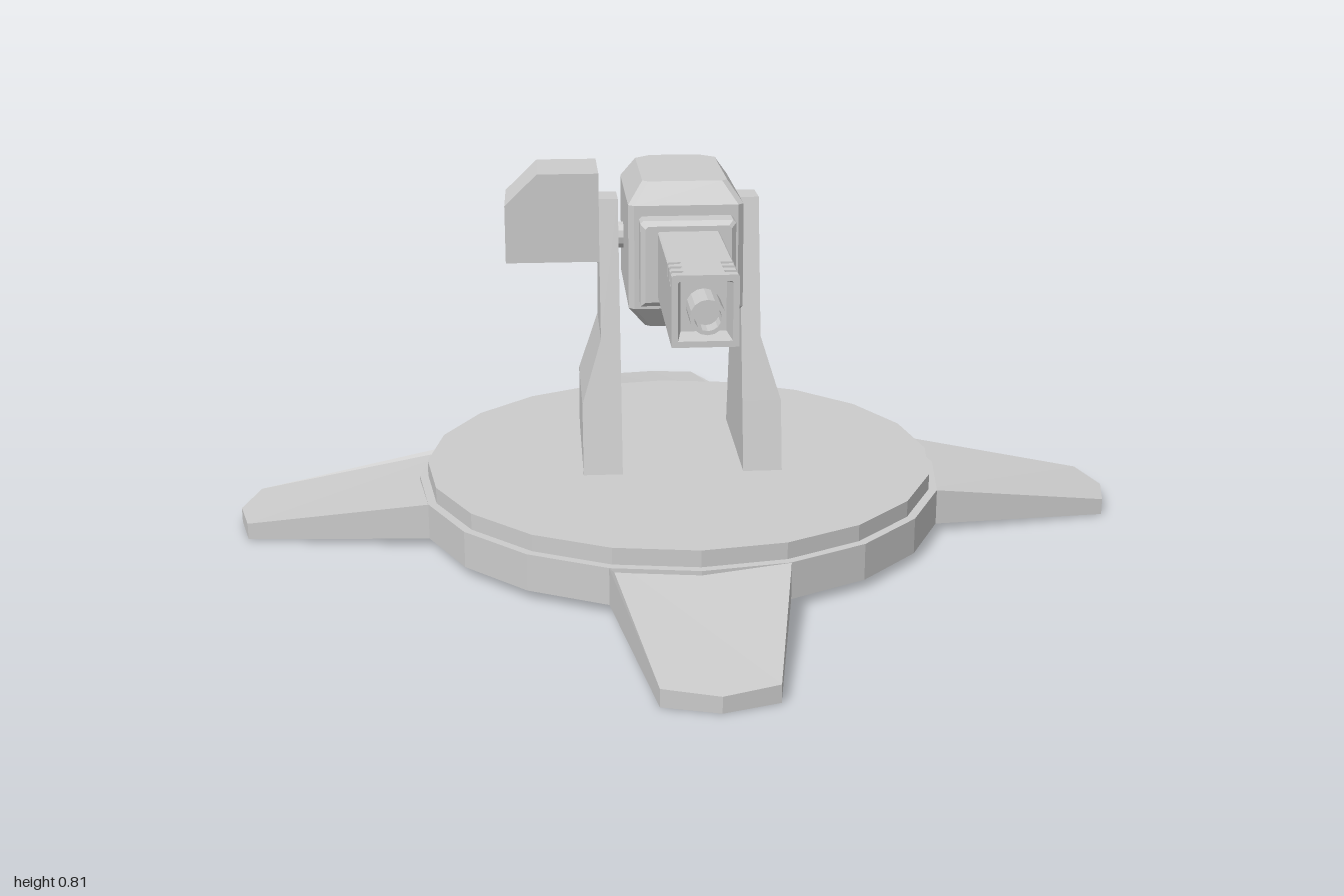
import * as THREE from 'three';

const material = new THREE.MeshStandardMaterial({ color: 0xcccccc, flatShading: true });

function add(parent, name, geometry) {
  const mesh = new THREE.Mesh(geometry, material);
  mesh.name = name;
  parent.add(mesh);
  return mesh;
}

// Skin convex rings of [x, y, z] points; each ring runs counter-clockwise seen from the far end.
function loft(rings) {
  const n = rings[0].length, pos = [];
  const tri = (...pts) => pts.forEach((p) => pos.push(...p));
  for (let k = 0; k + 1 < rings.length; k++) {
    for (let i = 0; i < n; i++) {
      const j = (i + 1) % n, a = rings[k], b = rings[k + 1];
      tri(a[i], a[j], b[j]);
      tri(a[i], b[j], b[i]);
    }
  }
  const first = rings[0], last = rings[rings.length - 1];
  for (let i = 1; i + 1 < n; i++) {
    tri(first[0], first[i + 1], first[i]);
    tri(last[0], last[i], last[i + 1]);
  }
  const g = new THREE.BufferGeometry();
  g.setAttribute('position', new THREE.Float32BufferAttribute(pos, 3));
  g.computeVertexNormals();
  return g;
}

// Horizontal rectangle ring at height y
const rect = (y, x0, x1, z0, z1) => [[x0, y, z0], [x0, y, z1], [x1, y, z1], [x1, y, z0]];

// Horizontal housing ring: cut corners, larger at the back
function housingRing(y, w, z0, z1) {
  const b = 0.035, f = 0.012;
  return [
    [-w + b, y, z0], [-w, y, z0 + b], [-w, y, z1 - f], [-w + f, y, z1],
    [w - f, y, z1], [w, y, z1 - f], [w, y, z0 + b], [w - b, y, z0],
  ];
}

// Upright barrel ring at depth z, with upper corners cut by c
function barrelRing(z, w, y0, y1, c) {
  return [[-w, y0, z], [w, y0, z], [w, y1 - c, z], [w - c, y1, z], [-w + c, y1, z], [-w, y1 - c, z]];
}

export function createModel() {
  const root = new THREE.Group();
  root.name = 'mountedTurret';
  const body = new THREE.Group();
  body.name = 'turret';
  body.position.set(-0.012, 0, -0.018);
  body.rotation.y = 0.01;
  root.add(body);

  // Base plates
  const lower = new THREE.CylinderGeometry(0.593, 0.593, 0.08, 20);
  add(body, 'baseDisc', lower.translate(0, 0.06, 0));
  const upper = new THREE.CylinderGeometry(0.574, 0.574, 0.037, 20);
  add(body, 'topPlate', upper.translate(0, 0.1175, 0));

  // Four tapered feet
  const plan = [[-0.184, 0.5], [-0.184, 0.562], [-0.11, 0.968], [0, 0.998], [0.11, 0.968], [0.184, 0.562], [0.184, 0.5]];
  const footHeight = (r, atRoot, atTip) =>
    THREE.MathUtils.lerp(atRoot, atTip, THREE.MathUtils.clamp((r - 0.56) / 0.44, 0, 1));
  const footRing = (atRoot, atTip) => plan.map(([x, r]) => [x, footHeight(r, atRoot, atTip), r]);
  const foot = loft([footRing(0.02, 0), footRing(0.1, 0.033)]);
  for (let i = 0; i < 4; i++) add(body, 'foot', foot).rotation.y = (i * Math.PI) / 2;

  // Tapered side supports, thicker at the bottom
  for (const side of [-1, 1]) {
    const rings = [[0.13, 0.222], [0.29, 0.222], [0.432, 0.178], [0.735, 0.178]].map(([y, outer]) => {
      const t = (y - 0.13) / 0.605;
      const xs = [side * 0.135, side * outer].sort((a, b) => a - b);
      return rect(y, xs[0], xs[1], THREE.MathUtils.lerp(-0.247, -0.087, t), THREE.MathUtils.lerp(0.126, -0.002, t));
    });
    add(body, side < 0 ? 'rightSupport' : 'leftSupport', loft(rings));
  }

  // Pivot joining the supports and the housing
  const axle = new THREE.CylinderGeometry(0.03, 0.03, 0.3, 12).rotateZ(Math.PI / 2);
  add(body, 'axle', axle.translate(0, 0.645, -0.045));

  // Gun housing with bevelled top and bottom
  add(body, 'housing', loft([
    housingRing(0.49, 0.086, -0.15, 0.17),
    housingRing(0.537, 0.122, -0.19, 0.203),
    housingRing(0.76, 0.122, -0.19, 0.203),
    housingRing(0.806, 0.09, -0.15, 0.172),
  ]));

  // Collar with a bevelled front rim
  add(body, 'collar', loft([
    barrelRing(0.19, 0.1, 0.556, 0.738, 0.006),
    barrelRing(0.252, 0.1, 0.556, 0.738, 0.006),
    barrelRing(0.262, 0.09, 0.566, 0.728, 0.006),
  ]));

  // Square barrel: three notched vents on the upper corners, then a recessed mouth
  const full = (z) => barrelRing(z, 0.064, 0.577, 0.717, 0.003);
  const rings = [full(0.25)];
  for (const z of [0.535, 0.57, 0.605]) {
    const cut = (d) => barrelRing(d, 0.064, 0.577, 0.717, 0.026);
    rings.push(full(z), cut(z), cut(z + 0.016), full(z + 0.016));
  }
  rings.push(full(0.643), barrelRing(0.643, 0.052, 0.589, 0.705, 0.003), barrelRing(0.6, 0.044, 0.597, 0.697, 0.003));
  add(body, 'barrel', loft(rings));

  // Muzzle tube with an open bore
  const bore = [[0.034, 0], [0.034, 0.092], [0.026, 0.092], [0.026, 0.05], [0, 0.05]].map(([r, h]) => new THREE.Vector2(r, h));
  const muzzle = new THREE.LatheGeometry(bore, 16).rotateX(Math.PI / 2);
  add(body, 'muzzle', muzzle.translate(0, 0.647, 0.595));

  // Side pod with a sloped outer top edge
  const pod = new THREE.Shape([[-0.384, 0.6], [-0.178, 0.6], [-0.178, 0.797], [-0.312, 0.797], [-0.384, 0.728]]
    .map(([x, y]) => new THREE.Vector2(x, y)));
  const podGeometry = new THREE.ExtrudeGeometry(pod, { depth: 0.188, bevelEnabled: false });
  add(body, 'sidePod', podGeometry.translate(0, 0, -0.162));

  return root;
}
